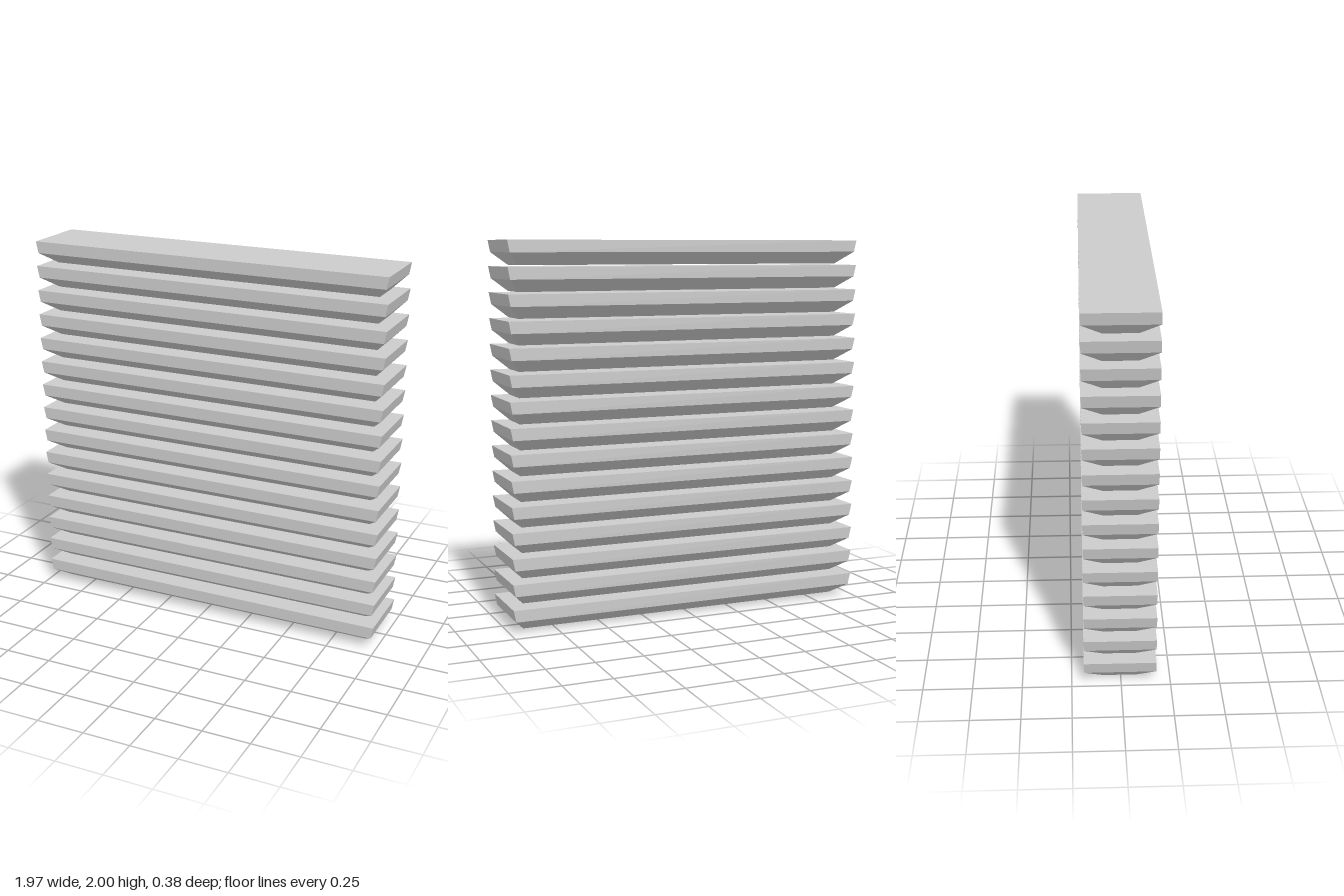
import * as THREE from 'three';

const COUNT = 15;
const HEIGHT = 0.126;
const PITCH = (2 - HEIGHT) / (COUNT - 1);

// Cross-sections from bottom to top; corners run front left, front right, back right, back left
const RINGS = [
  { y: 0, corners: [[-0.91, 0.082], [0.91, 0.087], [0.91, -0.084], [-0.91, -0.088]] },
  { y: 0.064, corners: [[-0.975, 0.178], [0.973, 0.188], [0.973, -0.178], [-0.975, -0.186]] },
  { y: HEIGHT, corners: [[-0.988, 0.178], [0.985, 0.188], [0.985, -0.178], [-0.988, -0.189]] },
];

// Slat: flat-topped plank with steep upper sides and a bevelled underside
function slatGeometry() {
  const positions = [];
  const rings = RINGS.map(({ y, corners }) => corners.map(([x, z]) => [x, y, z]));
  const quad = (a, b, c, d) => positions.push(...a, ...b, ...c, ...a, ...c, ...d);
  for (let r = 0; r < rings.length - 1; r++) {
    const lower = rings[r], upper = rings[r + 1];
    for (let i = 0; i < 4; i++) {
      const j = (i + 1) % 4;
      quad(lower[i], lower[j], upper[j], upper[i]);
    }
  }
  quad(...rings[rings.length - 1]);
  quad(...[...rings[0]].reverse());
  const geometry = new THREE.BufferGeometry();
  geometry.setAttribute('position', new THREE.Float32BufferAttribute(positions, 3));
  geometry.computeVertexNormals();
  return geometry;
}

export function createModel() {
  const model = new THREE.Group();
  model.name = 'slatStack';
  const geometry = slatGeometry();
  const material = new THREE.MeshStandardMaterial({ color: 0xcccccc, flatShading: true });

  // Evenly spaced column of identical slats
  for (let i = 0; i < COUNT; i++) {
    const slat = new THREE.Mesh(geometry, material);
    slat.name = `slat${i + 1}`;
    slat.position.y = i * PITCH;
    model.add(slat);
  }
  return model;
}
